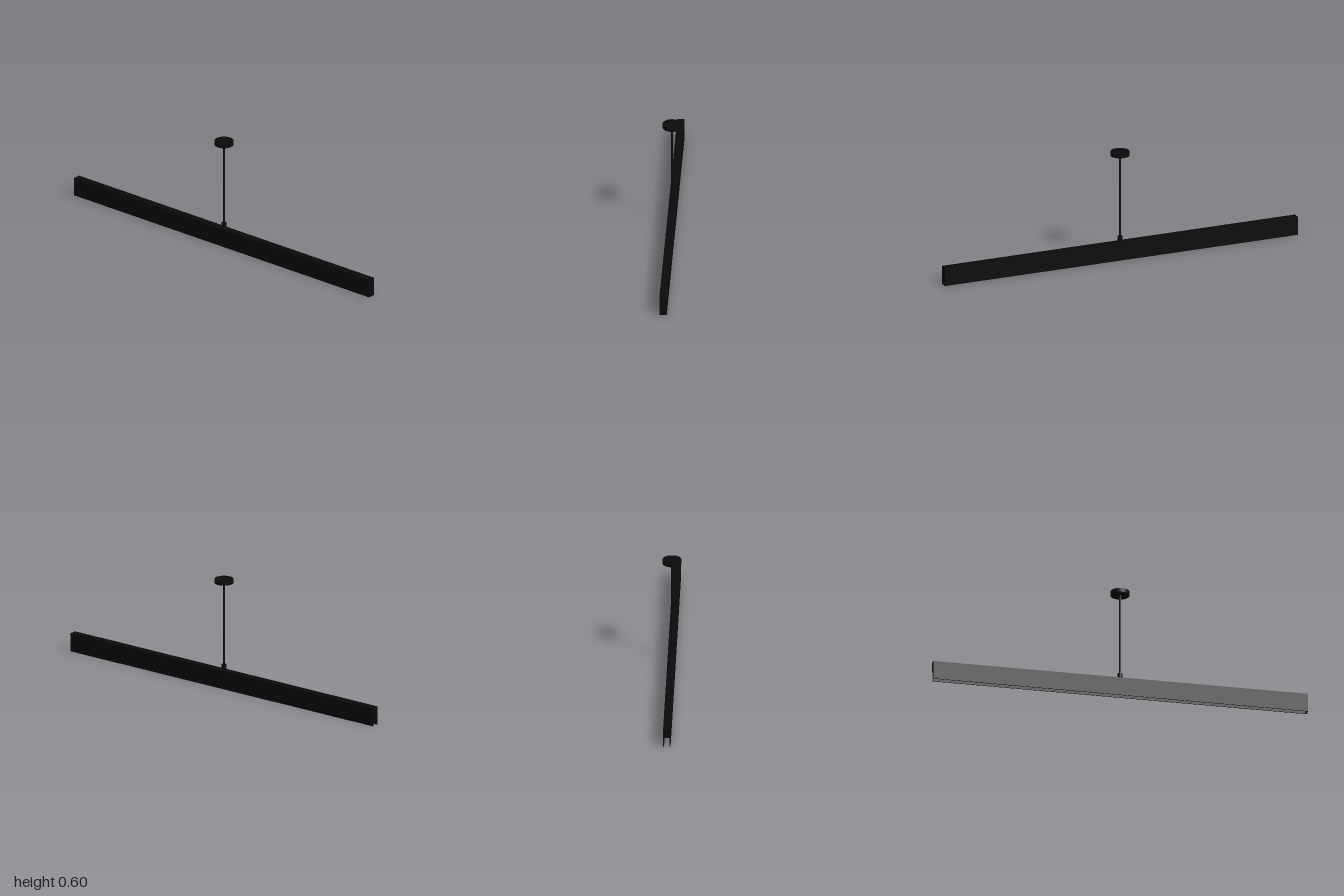
import * as THREE from 'three';

export function createModel() {
  const group = new THREE.Group();
  const black = new THREE.MeshStandardMaterial({ color: 0x0b0b0b });
  black.name = 'matte black';

  const add = (name, geometry, x, y, z) => {
    const mesh = new THREE.Mesh(geometry, black);
    mesh.name = name;
    mesh.position.set(x, y, z);
    group.add(mesh);
    return mesh;
  };

  // Long light bar: a channel profile, open underneath, extruded along x
  const half = 0.0195, height = 0.1, wall = 0.005, recess = 0.05, cap = 0.006;
  const inner = half - wall;
  const profile = new THREE.Shape([
    [-half, 0], [-inner, 0], [-inner, recess], [inner, recess],
    [inner, 0], [half, 0], [half, height], [-half, height],
  ].map(([x, y]) => new THREE.Vector2(x, y)));
  const channel = new THREE.ExtrudeGeometry(profile, { depth: 2 - cap, bevelEnabled: false });
  channel.rotateY(Math.PI / 2);
  add('lightBar', channel, -1, 0, 0);

  // Plate closing the left end of the channel
  add('endCap', new THREE.BoxGeometry(cap, height, half * 2), 1 - cap / 2, height / 2, 0);

  // Hanging parts: name, radius, bottom, top
  const turned = [
    ['collar', 0.013, 0.1, 0.13],
    ['rod', 0.006, 0.13, 0.58],
    ['ceilingCanopy', 0.05, 0.58, 0.602],
  ];
  for (const [name, radius, bottom, top] of turned) {
    add(name, new THREE.CylinderGeometry(radius, radius, top - bottom, 32), 0, (top + bottom) / 2, 0);
  }

  return group;
}
